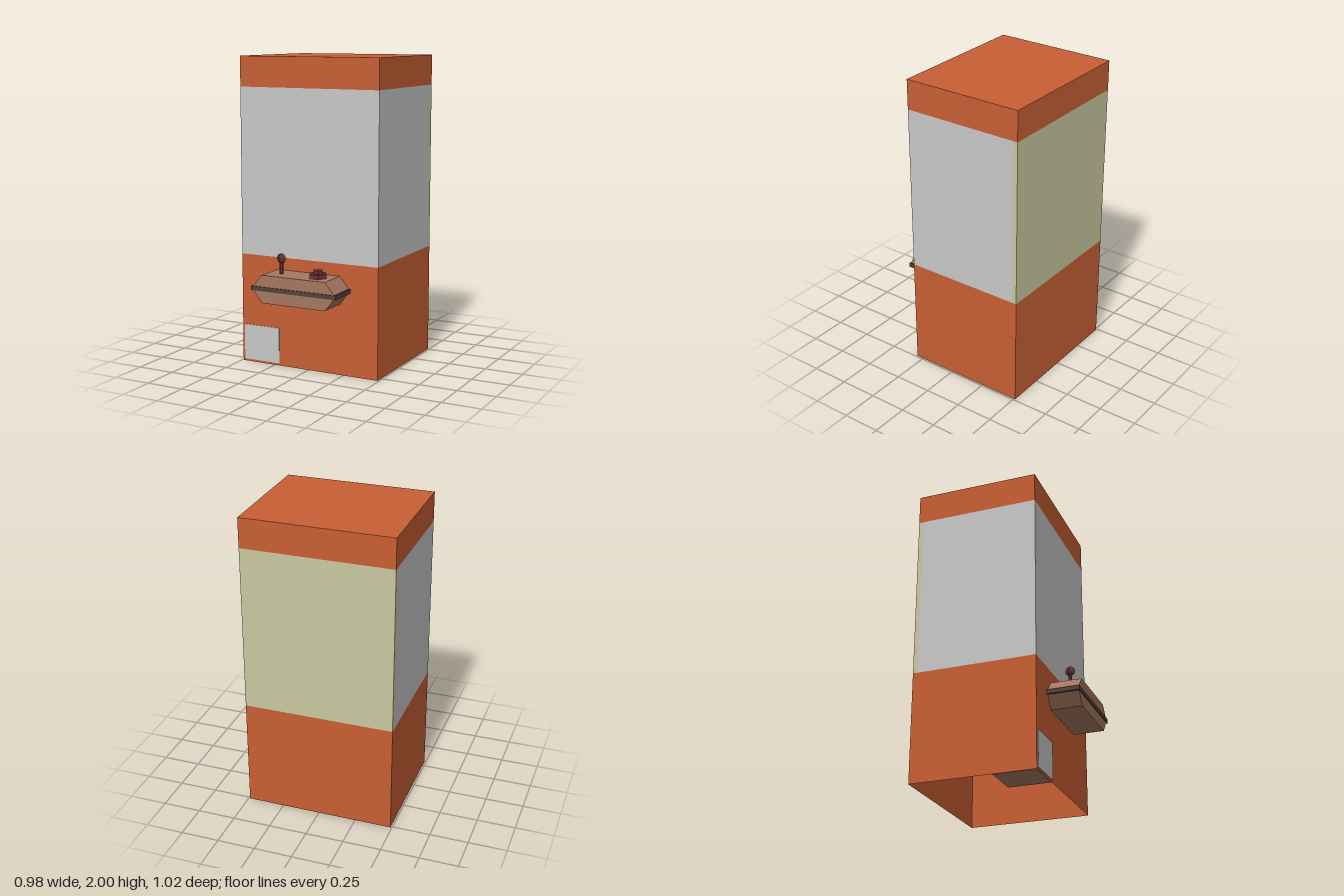
import * as THREE from 'three';

const mat = (name, color, extra = {}) => {
  const m = new THREE.MeshStandardMaterial({ color, flatShading: true, ...extra });
  m.name = name;
  return m;
};

export function createModel() {
  const orange = mat('orange cabinet', 0xc86034, { side: THREE.DoubleSide });
  const glass = mat('grey glass', 0xc8c8c8);
  const cream = mat('cream back panel', 0xc8c8a0);
  const brown = mat('brown plastic', 0xa67760);
  const trimDark = mat('dark trim', 0x54423b);
  const maroon = mat('maroon controls', 0x6a3535);

  const model = new THREE.Group();
  model.name = 'clawMachine';
  const add = (name, geometry, material, x = 0, y = 0, z = 0, parent = model) => {
    const mesh = new THREE.Mesh(geometry, material);
    mesh.name = name;
    mesh.position.set(x, y, z);
    parent.add(mesh);
    return mesh;
  };
  // Box given by its minimum and maximum corners
  const block = (name, material, [x0, y0, z0], [x1, y1, z1]) =>
    add(name, new THREE.BoxGeometry(x1 - x0, y1 - y0, z1 - z0), material,
      (x0 + x1) / 2, (y0 + y1) / 2, (z0 + z1) / 2);

  const W = 0.49, BACK = -0.51, FRONT = 0.30;

  // Lower cabinet: a hollow box, open underneath
  const base = block('baseCabinet', orange, [-W, 0, BACK], [W, 0.72, FRONT]);
  const index = Array.from(base.geometry.index.array);
  index.splice(18, 6); // drops the bottom face
  base.geometry.setIndex(index);
  base.geometry.clearGroups();

  // Display section and roof
  block('displayGlass', glass, [-W, 0.72, -0.48], [W, 1.805, FRONT]);
  block('backPanel', cream, [-W, 0.72, BACK], [W, 1.805, -0.48]);
  block('roof', orange, [-W, 1.805, BACK], [W, 2, FRONT]);

  // Prize chute inside the base, with its door on the front
  block('prizeChute', brown, [-0.475, 0.004, 0.02], [-0.215, 0.71, 0.295]);
  block('prizeDoor', glass, [-0.475, 0.015, FRONT - 0.002], [-0.215, 0.25, FRONT + 0.004]);

  // Control console: two tapered halves around a dark trim
  const console_ = new THREE.Group();
  console_.name = 'controlConsole';
  model.add(console_);
  const taperedHalf = (name, y0, halfWidth0, y1, halfWidth1) => {
    const shape = new THREE.Shape([
      new THREE.Vector2(-halfWidth0, y0), new THREE.Vector2(halfWidth0, y0),
      new THREE.Vector2(halfWidth1, y1), new THREE.Vector2(-halfWidth1, y1),
    ]);
    const geometry = new THREE.ExtrudeGeometry(shape, { depth: 0.2, bevelEnabled: false });
    add(name, geometry, brown, 0, 0, FRONT, console_);
  };
  taperedHalf('consoleBottom', 0.46, 0.225, 0.54, 0.287);
  taperedHalf('consoleTop', 0.565, 0.287, 0.64, 0.225);
  add('consoleTrim', new THREE.BoxGeometry(0.6, 0.027, 0.207), trimDark, 0, 0.552, 0.4035, console_);

  // Joystick
  add('joystickStick', new THREE.CylinderGeometry(0.012, 0.012, 0.08, 6), maroon, -0.138, 0.68, 0.4, console_);
  add('joystickBall', new THREE.SphereGeometry(0.032, 4, 8), maroon, -0.138, 0.738, 0.4, console_);

  // Hexagonal push button
  const hex = (radius, height) => new THREE.CylinderGeometry(radius, radius, height, 6).rotateY(Math.PI / 2);
  add('buttonBase', hex(0.06, 0.028), maroon, 0.123, 0.654, 0.4, console_);
  add('buttonCap', hex(0.032, 0.02), maroon, 0.123, 0.678, 0.4, console_);

  return model;
}
